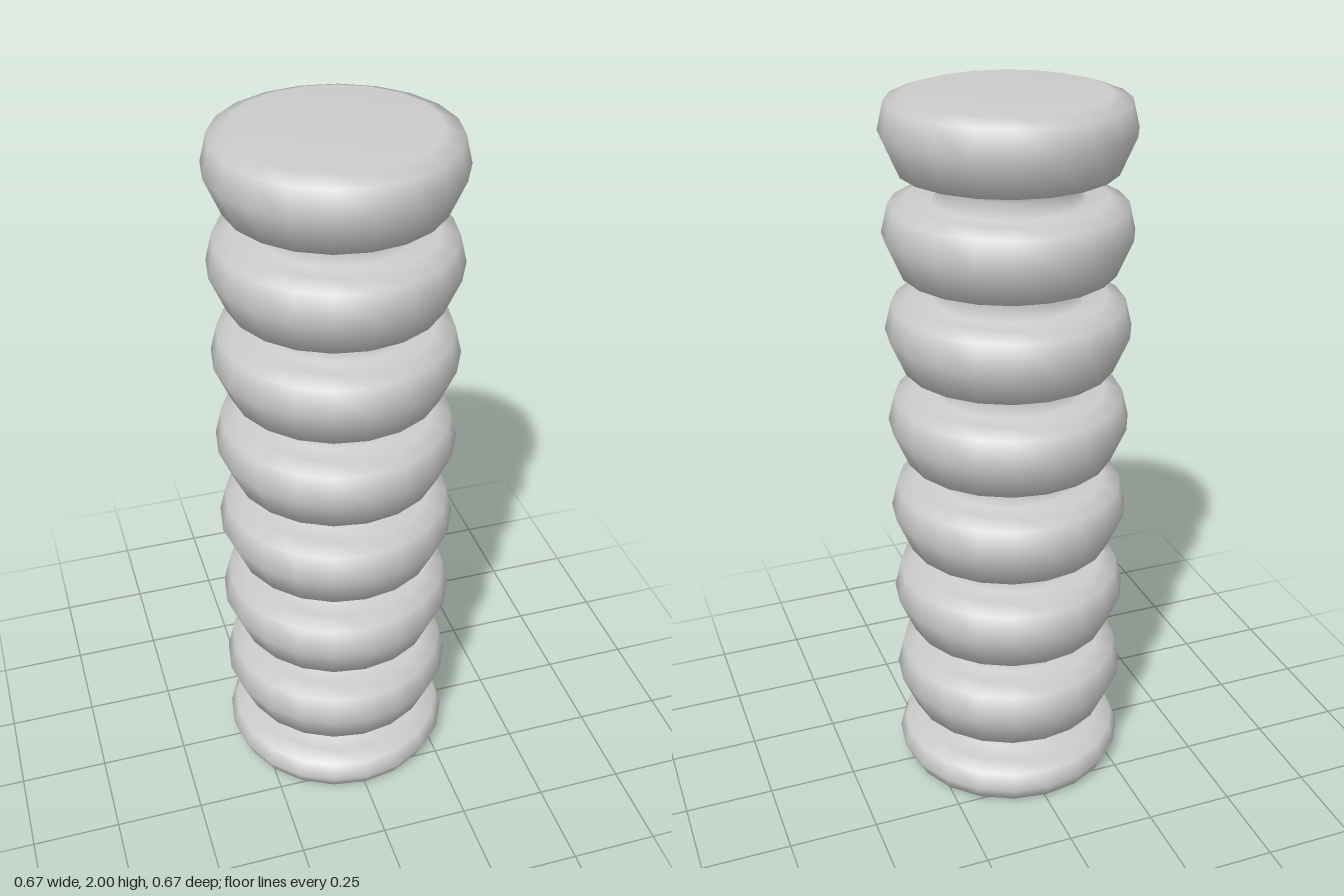
import * as THREE from 'three';

const SIDES = 20;
const PITCH = 0.2685;
const RINGS = 7;

export function createModel() {
  const group = new THREE.Group();
  const material = new THREE.MeshStandardMaterial({ color: 0xcccccc });

  // Thin foot ring, from the centre of the underside outwards
  const profile = [
    [0, 0], [0.27, 0], [0.312, 0.011], [0.333, 0.055], [0.315, 0.1], [0.265, 0.112],
  ];

  // Each level: a pinched neck followed by a bulging ring
  for (let i = RINGS - 1; i >= 0; i--) {
    const top = 2 - i * PITCH;
    profile.push(
      [0.2, top - 0.273], [0.175, top - 0.235], [0.2, top - 0.195],
      [0.29, top - 0.192], [0.333, top - 0.092], [0.315, top - 0.017], [0.265, top],
    );
  }
  profile.push([0, 2]);

  const points = profile.map(([r, y]) => new THREE.Vector2(r, y));
  const column = new THREE.Mesh(new THREE.LatheGeometry(points, SIDES), material);
  column.name = 'ribbedColumn';
  group.add(column);
  return group;
}
